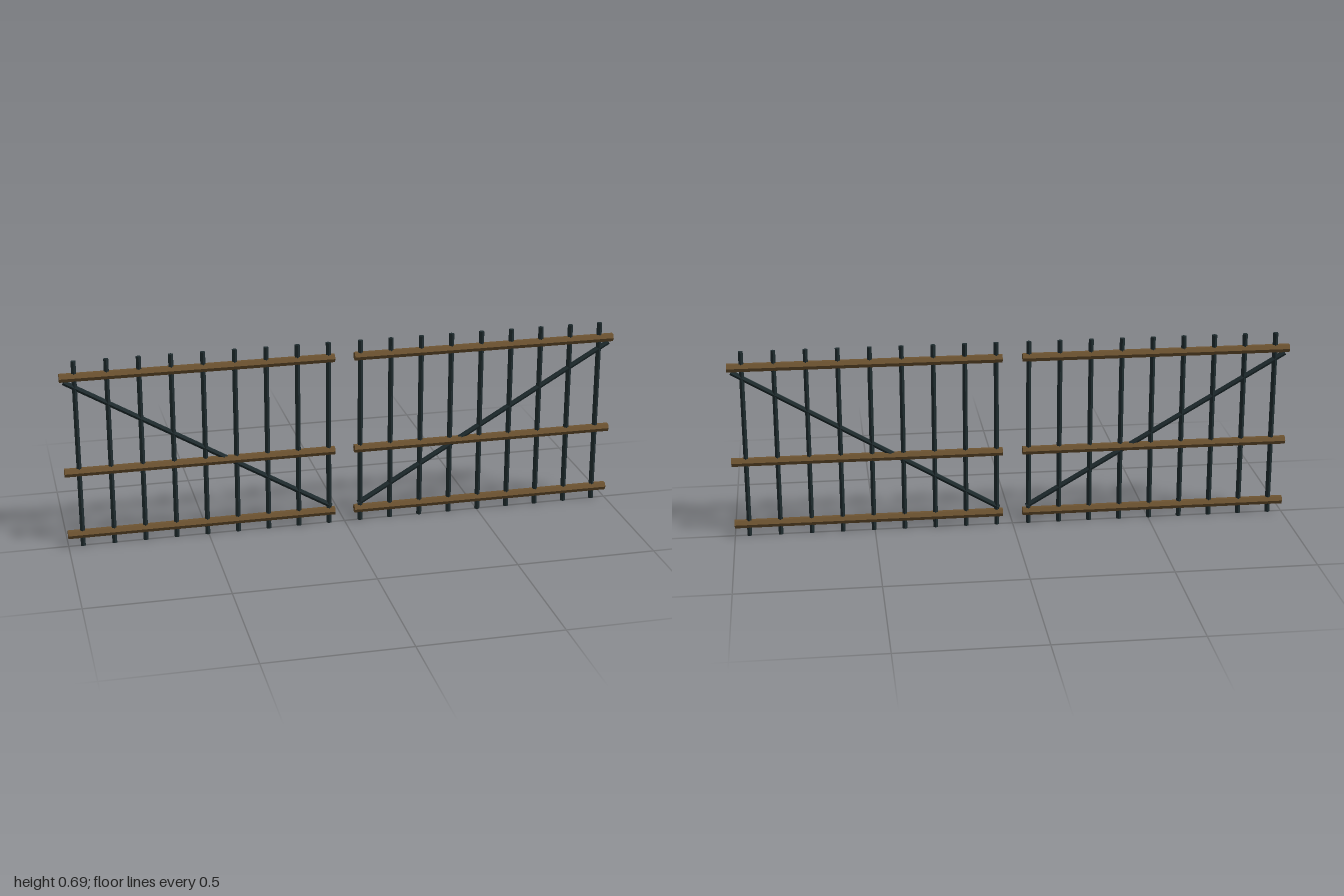
import * as THREE from 'three';

const wood = new THREE.MeshStandardMaterial({ color: 0x6e5431, flatShading: true });
wood.name = 'brown wood';
const iron = new THREE.MeshStandardMaterial({ color: 0x1f2c2f, flatShading: true });
iron.name = 'dark iron';

// Six-sided rod between two points in the plane of the gate
function rod(name, x0, y0, x1, y1, radius, material) {
  const dx = x1 - x0, dy = y1 - y0;
  const mesh = new THREE.Mesh(new THREE.CylinderGeometry(radius, radius, Math.hypot(dx, dy), 6), material);
  mesh.position.set((x0 + x1) / 2, (y0 + y1) / 2, 0);
  mesh.rotation.z = Math.atan2(dy, dx) - Math.PI / 2;
  mesh.name = name;
  return mesh;
}

// One gate leaf; side is +1 for the left leaf, -1 for the right
function leaf(side) {
  const group = new THREE.Group();
  group.name = side > 0 ? 'leftLeaf' : 'rightLeaf';

  // Horizontal rails
  for (const y of [0.045, 0.28, 0.63]) {
    group.add(rod('rail', side * 0.036, y, side, y, 0.0158, wood));
  }
  // Upright bars
  for (let i = 0; i < 9; i++) {
    const x = side * (0.058 + i * 0.1113);
    group.add(rod('bar', x, 0, x, 0.688, 0.0095, iron));
  }
  // Diagonal brace rising to the outer edge
  group.add(rod('brace', side * 0.05, 0.065, side * 0.985, 0.613, 0.0095, iron));
  return group;
}

export function createModel() {
  const gate = new THREE.Group();
  gate.name = 'doubleGate';
  gate.add(leaf(1), leaf(-1));
  return gate;
}
